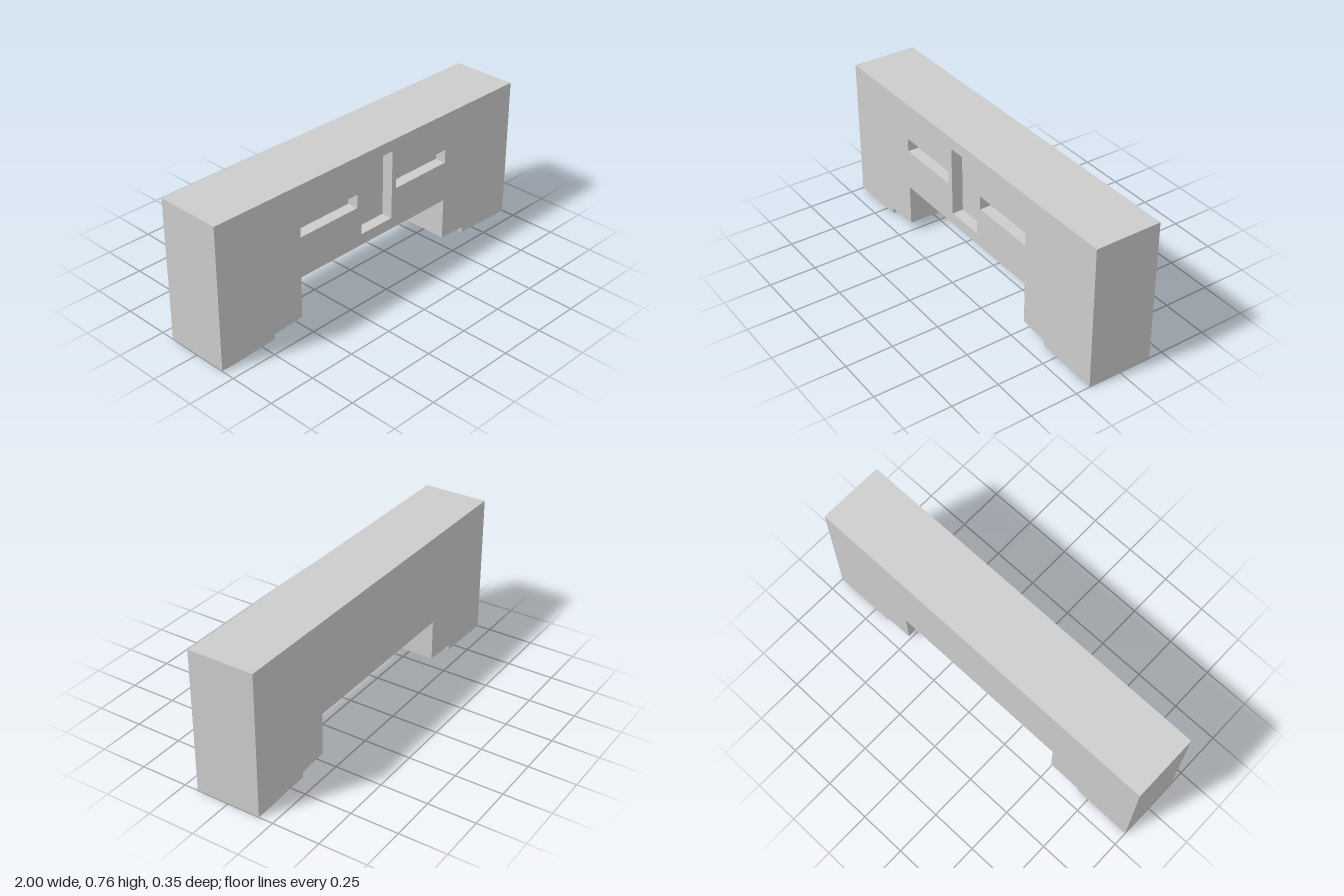
import * as THREE from 'three';

const FRONT = 0.175, BACK = -0.175, FLOOR = 0.115;

// Flat-shaded wall swept along z; counter-clockwise outlines face outward, clockwise inward
function wall(points, z0, z1) {
  const pos = [];
  points.forEach((a, i) => {
    const b = points[(i + 1) % points.length];
    pos.push(a.x, a.y, z0, b.x, b.y, z0, b.x, b.y, z1);
    pos.push(a.x, a.y, z0, b.x, b.y, z1, a.x, a.y, z1);
  });
  const geometry = new THREE.BufferGeometry();
  geometry.setAttribute('position', new THREE.Float32BufferAttribute(pos, 3));
  geometry.computeVertexNormals();
  return geometry;
}

const toPoints = (list) => list.map(([x, y]) => new THREE.Vector2(x, y));

export function createModel() {
  const model = new THREE.Group();
  const material = new THREE.MeshStandardMaterial({ color: 0xcccccc, flatShading: true });
  const add = (name, geometry, parent = model) => {
    const mesh = new THREE.Mesh(geometry, material);
    mesh.name = name;
    parent.add(mesh);
    return mesh;
  };

  // Bridge-shaped outline with two slightly sloped, stepped feet
  const outline = toPoints([
    [-1, 0.76], [-1, 0.003], [-0.95, 0], [-0.68, 0.01], [-0.68, 0.038],
    [-0.5, 0.048], [-0.5, 0.27], [0.5, 0.27], [0.5, 0.048],
    [0.66, 0.038], [0.66, 0.01], [0.95, 0], [1, 0.003], [1, 0.76],
  ]);

  // Recesses in the front face: x0, x1, y0, y1
  const recesses = [
    ['rightSlot', -0.5, -0.13, 0.487, 0.56],
    ['centrePanel', -0.1, 0.11, 0.33, 0.7],
    ['leftSlot', 0.14, 0.5, 0.487, 0.56],
  ];

  const frontShape = new THREE.Shape(outline);
  for (const [name, x0, x1, y0, y1] of recesses) {
    const rim = toPoints([[x0, y0], [x0, y1], [x1, y1], [x1, y0]]);
    frontShape.holes.push(new THREE.Path(rim));

    const recess = new THREE.Group();
    recess.name = name;
    add(name + 'Sides', wall(rim, FLOOR, FRONT), recess);
    add(name + 'Floor', new THREE.PlaneGeometry(x1 - x0, y1 - y0), recess)
      .position.set((x0 + x1) / 2, (y0 + y1) / 2, FLOOR);
    model.add(recess);
  }

  // Outer shell
  add('outerSides', wall(outline, BACK, FRONT));
  add('frontFace', new THREE.ShapeGeometry(frontShape)).position.z = FRONT;

  // Back face: the mirrored outline turned around to face -z
  const mirrored = outline.map((p) => new THREE.Vector2(-p.x, p.y)).reverse();
  const back = add('backFace', new THREE.ShapeGeometry(new THREE.Shape(mirrored)));
  back.rotation.y = Math.PI;
  back.position.z = BACK;

  return model;
}
